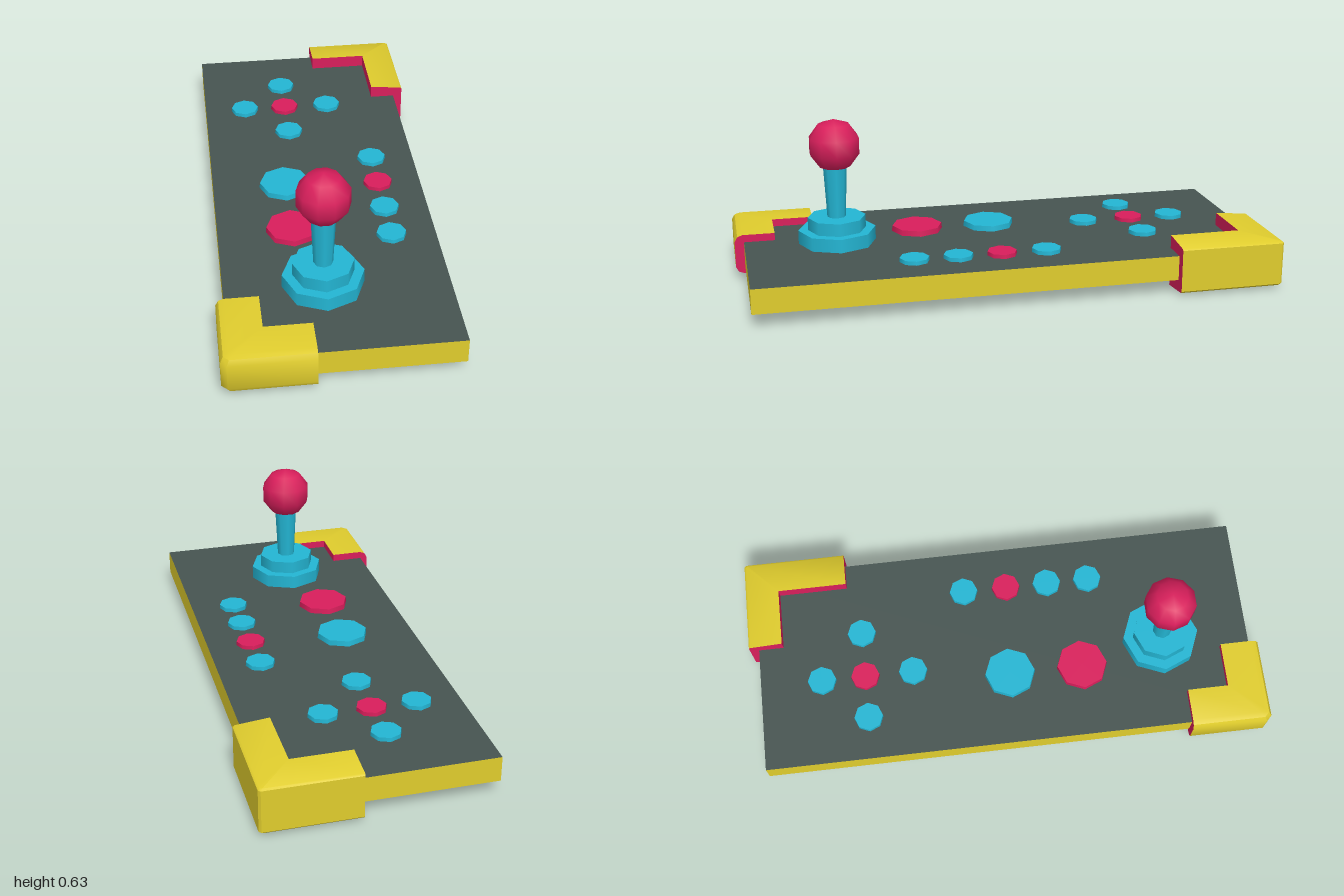
import * as THREE from 'three';
import { toCreasedNormals } from 'three/addons/utils/BufferGeometryUtils.js';

const mat = (name, color) => new THREE.MeshStandardMaterial({ name, color });

// Sweeps a section [t, y] (t: 0 inner edge, 1 outer edge) around an outer corner.
function bracket(name, { x, z, sx, sz, lx, lz, w, chamfer, section }, shellMat, innerMat) {
  const stations = [0, 1, 2, 3].map((k) => section.map(([t, y]) => {
    const e = (1 - t) * w, c = chamfer * t;
    const [dx, dz] = [[e, lz], [e, e + c], [e + c, e], [lx, e]][k];
    return [x - sx * dx, y, z - sz * dz];
  }));
  const n = section.length, shell = [], inner = [];
  const quad = (out, a, b, c, d) => out.push(...a, ...b, ...c, ...a, ...c, ...d);
  for (let k = 0; k < 3; k++) {
    for (let i = 0; i < n; i++) {
      const j = (i + 1) % n;
      quad(i === n - 1 ? inner : shell,
        stations[k][i], stations[k][j], stations[k + 1][j], stations[k + 1][i]);
    }
  }
  // End caps
  for (let i = 1; i < n - 1; i++) {
    const s = stations[0], e = stations[3];
    inner.push(...s[0], ...s[i + 1], ...s[i], ...e[0], ...e[i], ...e[i + 1]);
  }
  const group = new THREE.Group();
  group.name = name;
  for (const [part, data, material] of [['shell', shell, shellMat], ['innerFace', inner, innerMat]]) {
    const geo = new THREE.BufferGeometry();
    geo.setAttribute('position', new THREE.Float32BufferAttribute(data, 3));
    const mesh = new THREE.Mesh(toCreasedNormals(geo, 0.65), material);
    mesh.name = name + '_' + part;
    group.add(mesh);
  }
  return group;
}

export function createModel() {
  const model = new THREE.Group();
  model.name = 'controller';
  const yellow = mat('yellow', 0xdfcc2d);
  const red = mat('red', 0xd81e5b);
  const cyan = mat('cyan', 0x23b5d3);
  const dark = mat('darkGrey', 0x465451);

  const add = (name, geo, material, x, y, z) => {
    const mesh = new THREE.Mesh(geo, material);
    mesh.name = name;
    mesh.position.set(x, y, z);
    model.add(mesh);
  };
  // Eight-sided post standing between two heights
  const post = (name, material, x, z, rTop, rBottom, y0, y1) =>
    add(name, new THREE.CylinderGeometry(rTop, rBottom, y1 - y0, 8), material, x, (y0 + y1) / 2, z);

  // Board: dark faces with a yellow rim
  add('board', new THREE.BoxGeometry(0.808, 0.094, 1.93),
    [yellow, yellow, dark, dark, yellow, yellow], -0.005, 0.101, 0);

  // Corner brackets
  model.add(bracket('frontBracket', {
    x: -0.438, z: 1, sx: -1, sz: 1, lx: 0.323, lz: 0.31, w: 0.152, chamfer: 0.02,
    section: [[0, 0.177], [0.8, 0.177], [0.93, 0.17], [1, 0.15],
      [1, 0.05], [0.93, 0.031], [0.8, 0.024], [0, 0.024]],
  }, yellow, red));
  model.add(bracket('backBracket', {
    x: 0.435, z: -1, sx: 1, sz: -1, lx: 0.355, lz: 0.4, w: 0.132, chamfer: 0.008,
    section: [[0, 0.198], [0.95, 0.186], [1, 0.18], [1, 0.02], [0.95, 0.013], [0, 0]],
  }, yellow, red));

  // Buttons: x, z, radius, colour
  const buttons = [
    [-0.077, -0.725, 0.057, cyan], [-0.245, -0.555, 0.057, cyan], [-0.077, -0.555, 0.057, red],
    [0.102, -0.555, 0.057, cyan], [-0.077, -0.367, 0.057, cyan],
    [0.232, -0.135, 0.057, cyan], [0.232, 0.035, 0.057, red],
    [0.232, 0.2, 0.057, cyan], [0.232, 0.364, 0.057, cyan],
    [-0.13, 0.01, 0.1, cyan], [-0.13, 0.295, 0.1, red],
  ];
  buttons.forEach(([x, z, r, m], i) =>
    post('button' + (i + 1), m, x, z, r * 0.97, r, 0.14, r > 0.08 ? 0.169 : 0.163));

  // Joystick
  const jx = -0.053, jz = 0.615;
  post('stickBase', cyan, jx, jz, 0.147, 0.147, 0.14, 0.2);
  post('stickCollar', cyan, jx, jz, 0.11, 0.11, 0.2, 0.249);
  post('stickShaft', cyan, jx, jz, 0.045, 0.035, 0.245, 0.455);
  add('stickBall', new THREE.SphereGeometry(0.1, 10, 5), red, jx, 0.527, jz);

  return model;
}
